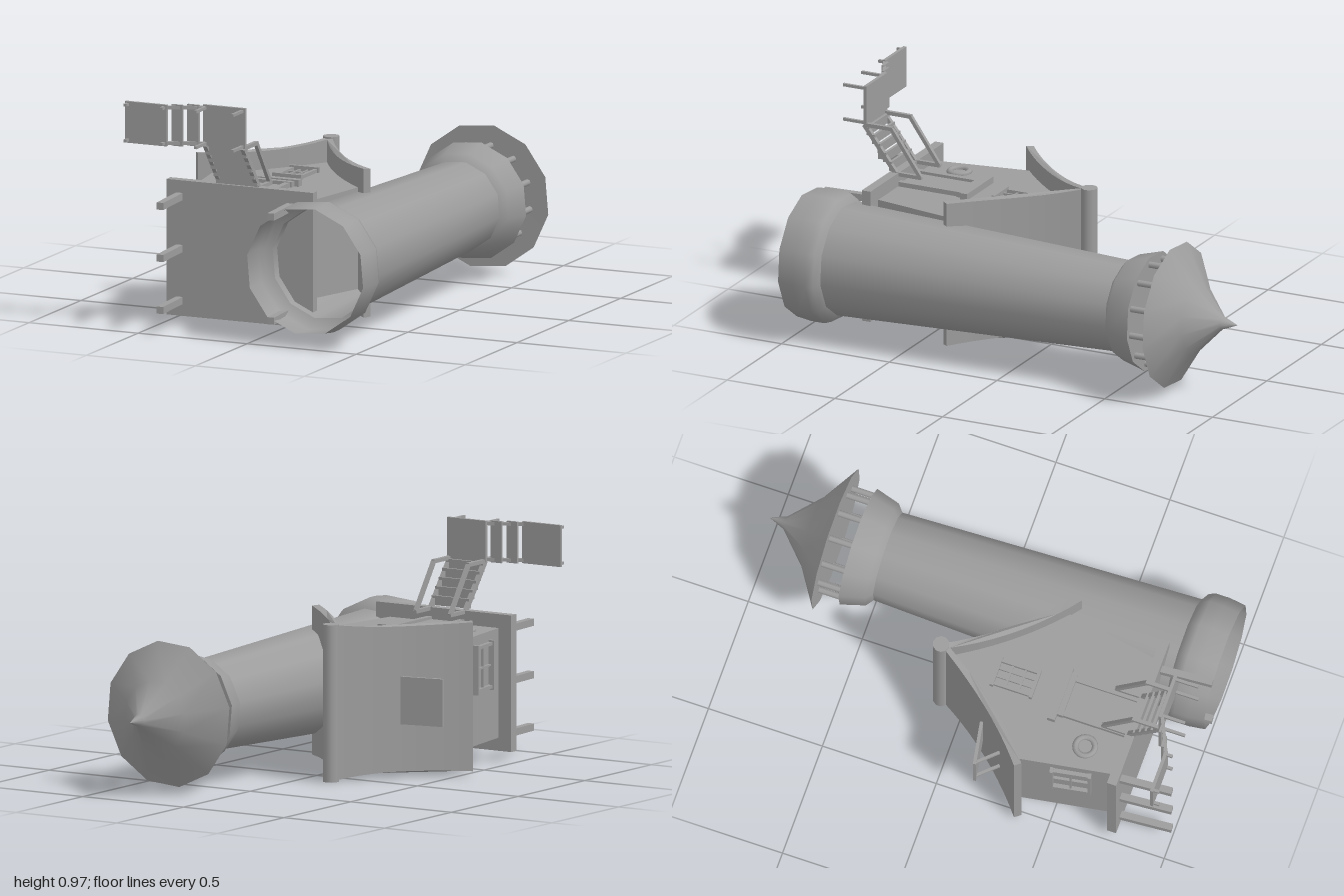
import * as THREE from 'three';

const mat = new THREE.MeshStandardMaterial({ color: 0x9d9d9d, side: THREE.DoubleSide });
const flat = new THREE.MeshStandardMaterial({ color: 0x9d9d9d, side: THREE.DoubleSide, flatShading: true });
const V = (x, y, z) => new THREE.Vector3(x, y, z);

// The house and tower are modelled upright (y = height, z = towards the door), then laid on their back.
export function createModel() {
  const root = new THREE.Group();
  const scene = new THREE.Group();
  scene.name = 'lighthouseAndHut';
  scene.rotation.x = -Math.PI / 2;
  scene.position.z = 1;
  root.add(scene);

  const add = (name, geo, material = flat, parent = scene) => {
    const m = new THREE.Mesh(geo, material);
    m.name = name;
    parent.add(m);
    return m;
  };
  const group = (name, parent = scene) => {
    const g = new THREE.Group();
    g.name = name;
    parent.add(g);
    return g;
  };
  // box from its minimum and maximum corners
  const box = (name, x0, x1, y0, y1, z0, z1, parent = scene) => {
    const m = add(name, new THREE.BoxGeometry(x1 - x0, y1 - y0, z1 - z0), flat, parent);
    m.position.set((x0 + x1) / 2, (y0 + y1) / 2, (z0 + z1) / 2);
    return m;
  };
  // square bar between two points
  const bar = (name, a, b, w, parent = scene) => {
    const m = add(name, new THREE.BoxGeometry(w, a.distanceTo(b), w), flat, parent);
    m.position.copy(a).add(b).multiplyScalar(0.5);
    m.quaternion.setFromUnitVectors(V(0, 1, 0), a.clone().sub(b).normalize());
    return m;
  };

  // ---- Tower: open shells with twelve sides
  const tower = group('tower');
  tower.position.set(0.266, 0, 0.333);
  const lathe = (name, pts) => add(name, new THREE.LatheGeometry(
    pts.map(p => new THREE.Vector2(...p)), 12, Math.PI / 18), mat, tower);
  lathe('towerBase', [[0.27, 0], [0.279, 0.07], [0.279, 0.13], [0.268, 0.16], [0.238, 0.18]]);
  lathe('towerShaft', [[0.238, 0.18], [0.191, 1.48]]);
  lathe('galleryFlare', [[0.191, 1.48], [0.222, 1.505], [0.252, 1.61]]);
  lathe('galleryFloor', [[0.252, 1.61], [0, 1.61]]);
  lathe('roofUnderside', [[0, 1.712], [0.307, 1.71]]);
  lathe('towerRoof', [[0.307, 1.71], [0.152, 1.81], [0.028, 1.93], [0, 2]]);
  for (let i = 0; i < 12; i++) {
    const a = i / 12 * Math.PI * 2 + Math.PI / 18;
    const c = add('lanternColumn', new THREE.CylinderGeometry(0.014, 0.014, 0.1, 8), mat, tower);
    c.position.set(0.22 * Math.sin(a), 1.66, 0.22 * Math.cos(a));
  }

  // ---- Hut platform and stilts
  const hut = group('hut');
  box('platform', -0.475, 0.198, 0.22, 0.26, 0.045, 0.618, hut);
  for (const [x, z] of [[-0.4, 0.55], [-0.4, 0.33], [-0.4, 0.11], [0.1, 0.55], [0.1, 0.11]])
    bar('stilt', V(x + (x < 0 ? -0.016 : -0.008), 0.23, z), V(x + (x < 0 ? 0 : 0.008), 0, z), 0.03, hut);

  // ---- Walls: gabled outline that widens upward
  const wall = new THREE.Shape([[-0.41, 0.25], [0.125, 0.25], [0.2, 0.68], [0.02, 0.87], [-0.14, 1.08],
    [-0.3, 0.87], [-0.48, 0.68]].map(p => new THREE.Vector2(...p)));
  add('walls', new THREE.ExtrudeGeometry(wall, { depth: 0.46, bevelEnabled: false }), flat, hut).position.z = 0.1;

  // ---- Sagging roof, slightly waisted between ridge and eaves
  const waist = y => 0.304 + 0.024 * Math.max(0, (y - 0.85) / 0.25) ** 2 + 0.008 * Math.max(0, (0.85 - y) / 0.2) ** 2;
  for (const s of [-1, 1]) {
    const at = (x, y) => new THREE.Vector2(-0.14 + s * x, y);
    const outer = new THREE.QuadraticBezierCurve(at(0, 1.11), at(0.17, 0.83), at(0.4, 0.645)).getPoints(10);
    const inner = new THREE.QuadraticBezierCurve(at(0, 1.065), at(0.16, 0.795), at(0.38, 0.62)).getPoints(10);
    const g = new THREE.ExtrudeGeometry(new THREE.Shape([...outer, ...inner.reverse()]),
      { depth: 2, bevelEnabled: false });
    const p = g.attributes.position;
    for (let i = 0; i < p.count; i++) p.setZ(i, 0.334 + (p.getZ(i) - 1) * waist(p.getY(i)));
    g.computeVertexNormals();
    add('roofSlope', g, flat, hut);
  }
  const ridge = add('ridgePole', new THREE.CylinderGeometry(0.035, 0.035, 0.66, 10), mat, hut);
  ridge.rotation.x = Math.PI / 2;
  ridge.position.set(-0.14, 1.105, 0.335);

  // ---- Propped roof hatch
  const hatch = group('roofHatch', hut);
  const lid = add('hatchLid', new THREE.BoxGeometry(0.19, 0.014, 0.2), flat, hatch);
  lid.position.set(-0.42, 0.845, 0.33);
  lid.rotation.z = 0.18;
  for (const z of [0.25, 0.41]) bar('hatchProp', V(-0.5, 0.83, z), V(-0.41, 0.735, z), 0.012, hatch);

  // ---- Paned window facing +z, centred on its own origin
  const paneWindow = (name, w, h, n) => {
    const g = group(name, hut);
    const t = 0.014;
    for (const s of [-1, 1]) {
      box('windowJamb', s * w / 2 - t / 2, s * w / 2 + t / 2, -h / 2, h / 2, -0.01, 0.015, g);
      box('windowRail', -w / 2 - 0.014, w / 2 + 0.014, s * h / 2 - t / 2, s * h / 2 + t / 2, -0.01, 0.022, g);
    }
    for (let i = 1; i < n; i++) {
      const u = i / n - 0.5;
      box('windowBar', u * w - 0.004, u * w + 0.004, -h / 2, h / 2, -0.01, 0.009, g);
      box('windowBar', -w / 2, w / 2, u * h - 0.004, u * h + 0.004, -0.01, 0.009, g);
    }
    return g;
  };
  paneWindow('frontWindow', 0.105, 0.17, 3).position.set(-0.145, 0.775, 0.56);
  const side = paneWindow('sideWindow', 0.18, 0.16, 2);
  side.rotation.set(0.17, -Math.PI / 2, 0, 'YXZ');
  side.position.set(-0.442, 0.43, 0.42);

  // ---- Round window
  const ring = add('roundWindow', new THREE.TorusGeometry(0.041, 0.013, 8, 20), mat, hut);
  ring.position.set(-0.333, 0.405, 0.562);

  // ---- Door with stepped lintel
  const door = group('door', hut);
  box('doorPanel', -0.22, -0.08, 0.26, 0.55, 0.55, 0.568, door);
  for (const x of [-0.23, -0.07]) box('doorJamb', x - 0.012, x + 0.012, 0.26, 0.55, 0.55, 0.58, door);
  box('lintelLower', -0.245, -0.05, 0.535, 0.56, 0.55, 0.583, door);
  box('lintelUpper', -0.275, -0.03, 0.56, 0.592, 0.55, 0.588, door);

  // ---- Stairs with stringers and handrails
  const stairs = group('stairs');
  for (const x of [-0.238, -0.066]) {
    bar('stringer', V(x, 0.245, 0.615), V(x, 0.1, 0.805), 0.018, stairs);
    bar('handrail', V(x, 0.36, 0.612), V(x, 0.225, 0.805), 0.016, stairs);
    bar('upperPost', V(x, 0.365, 0.612), V(x, 0.23, 0.612), 0.016, stairs);
    bar('lowerPost', V(x, 0.23, 0.805), V(x, 0.1, 0.805), 0.016, stairs);
  }
  for (let i = 0; i < 5; i++) {
    const z = 0.642 + i * 0.035, y = 0.222 - i * 0.026;
    box('stairTread', -0.245, -0.058, y - 0.006, y + 0.006, z - 0.02, z + 0.02, stairs);
  }

  // ---- Landing, steps and lower dock
  const dock = group('dock');
  const deck = (name, x0, x1, y) => {
    box(name, x0, x1, y - 0.014, y, 0.8, 0.975, dock);
    for (const x of [x0 + 0.012, x1 - 0.012]) for (const z of [0.812, 0.963])
      box('dockLeg', x - 0.006, x + 0.006, 0, y - 0.01, z - 0.006, z + 0.006, dock);
  };
  deck('landing', -0.25, -0.057, 0.112);
  deck('lowerDock', -0.572, -0.382, 0.038);
  box('dockStep', -0.313, -0.26, 0.08, 0.09, 0.8, 0.975, dock);
  box('dockStep', -0.371, -0.32, 0.05, 0.06, 0.8, 0.975, dock);
  for (const z of [0.812, 0.963])
    bar('dockStringer', V(-0.39, 0.03, z), V(-0.24, 0.1, z), 0.014, dock);

  return root;
}
